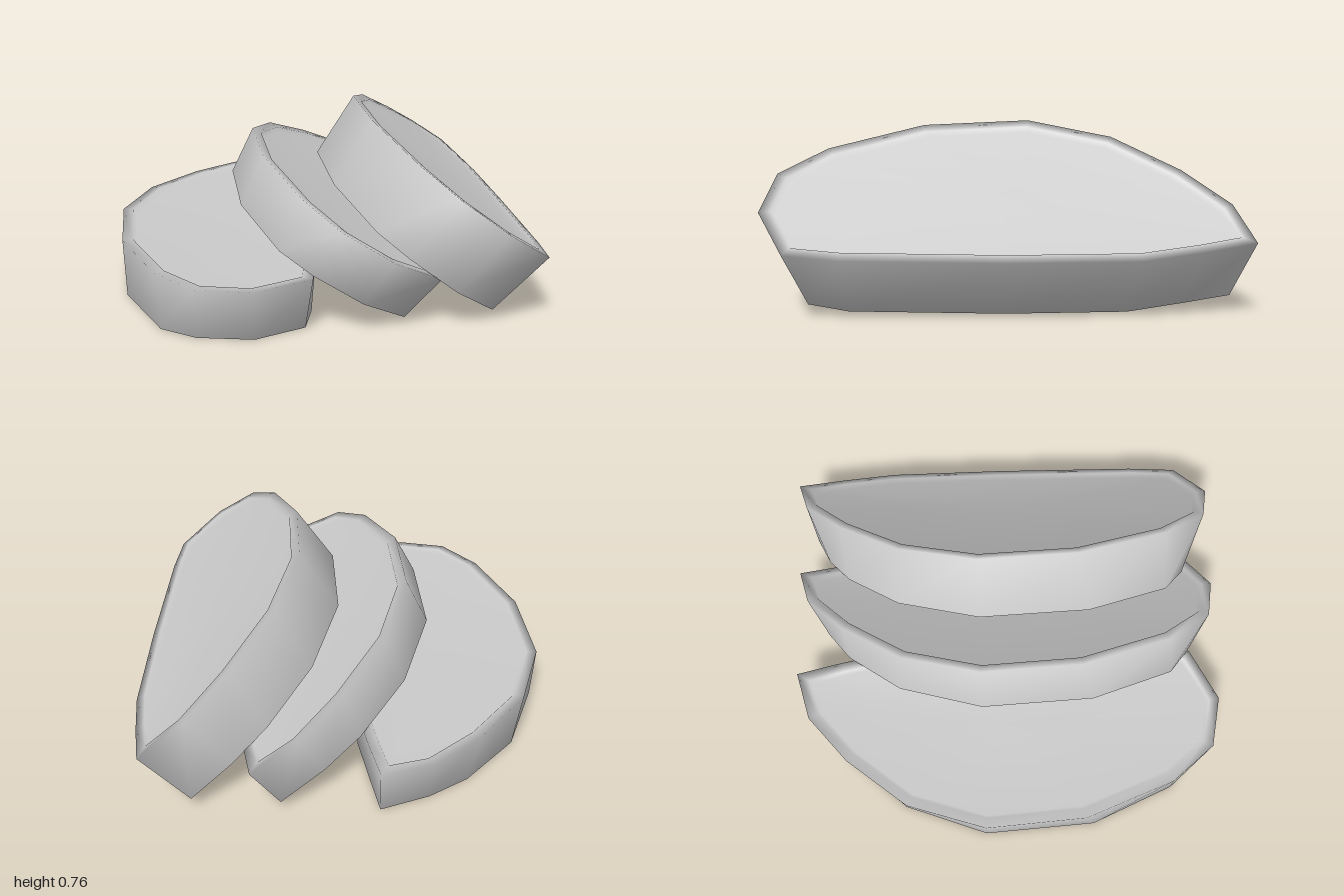
import * as THREE from 'three';

// Half-moon outlines [x, z] of the two cut faces, counter-clockwise seen from above
const TOP = [
  [0.335, -1], [0.115, -0.94], [-0.095, -0.76], [-0.315, -0.48], [-0.43, -0.12],
  [-0.4, 0.34], [-0.245, 0.75], [-0.085, 0.95], [0.145, 1], [0.385, 0.88],
  [0.415, 0.66], [0.435, 0], [0.43, -0.53], [0.385, -0.78],
];
const BOTTOM = [
  [0.33, -0.94], [0.12, -0.86], [-0.05, -0.75], [-0.275, -0.5], [-0.415, -0.12],
  [-0.385, 0.39], [-0.224, 0.77], [-0.08, 0.87], [0.15, 0.91], [0.36, 0.81],
  [0.4, 0.64], [0.42, 0], [0.415, -0.5], [0.37, -0.74],
];
const RIM = 0.045; // width of the crust around each cut face
const WALL = 0.06; // distance from the outer edge to the foot of the rim
const DEPTH = 0.02; // how far the cut face sits below the rim

// Moves an outline inwards by the same distance all round
function inset(outline, distance) {
  const n = outline.length;
  const inward = outline.map(([x, z], i) => {
    const [x2, z2] = outline[(i + 1) % n];
    return new THREE.Vector2(z2 - z, x - x2).normalize();
  });
  return outline.map(([x, z], i) => {
    const before = inward[(i + n - 1) % n];
    const after = inward[i];
    const k = distance / (1 + before.dot(after));
    return [x + (before.x + after.x) * k, z + (before.y + after.y) * k];
  });
}

// Loft: recessed underside, lower rim, crust, upper rim, recessed top
function sliceGeometry(thickness) {
  const rings = [
    [-thickness + DEPTH, inset(BOTTOM, WALL)],
    [-thickness, inset(BOTTOM, RIM)],
    [-thickness, BOTTOM],
    [0, TOP],
    [0, inset(TOP, RIM)],
    [-DEPTH, inset(TOP, WALL)],
  ];
  const n = TOP.length;
  const positions = [];
  const index = [];
  for (const [y, outline] of rings) {
    for (const [x, z] of outline) positions.push(x, y, z);
  }
  // Middle points of the two cut faces
  const lower = rings.length * n;
  const upper = lower + 1;
  positions.push(0.05, -thickness + DEPTH, 0, 0.05, -DEPTH, 0);

  const last = (rings.length - 1) * n;
  for (let i = 0; i < n; i++) {
    const j = (i + 1) % n;
    for (let r = 0; r < last; r += n) {
      index.push(r + i, r + j, r + n + j, r + i, r + n + j, r + n + i);
    }
    index.push(lower, j, i, upper, last + i, last + j);
  }
  const geometry = new THREE.BufferGeometry();
  geometry.setAttribute('position', new THREE.Float32BufferAttribute(positions, 3));
  geometry.setIndex(index);
  geometry.computeVertexNormals();
  return geometry;
}

export function createModel() {
  const group = new THREE.Group();
  group.name = 'slices';
  const material = new THREE.MeshStandardMaterial({ color: 0xcccccc });

  // Each slice is placed by the middle of its top face and leans on the one before
  const slices = [
    { name: 'flatSlice', x: -0.475, y: 0.24, tilt: 0, thickness: 0.235 },
    { name: 'middleSlice', x: 0.09, y: 0.41, tilt: -29.6, thickness: 0.228 },
    { name: 'thickSlice', x: 0.545, y: 0.52, tilt: -35.2, thickness: 0.319 },
  ];
  for (const { name, x, y, tilt, thickness } of slices) {
    const mesh = new THREE.Mesh(sliceGeometry(thickness), material);
    mesh.name = name;
    mesh.position.set(x, y, 0);
    mesh.rotation.z = THREE.MathUtils.degToRad(tilt);
    group.add(mesh);
  }
  return group;
}
